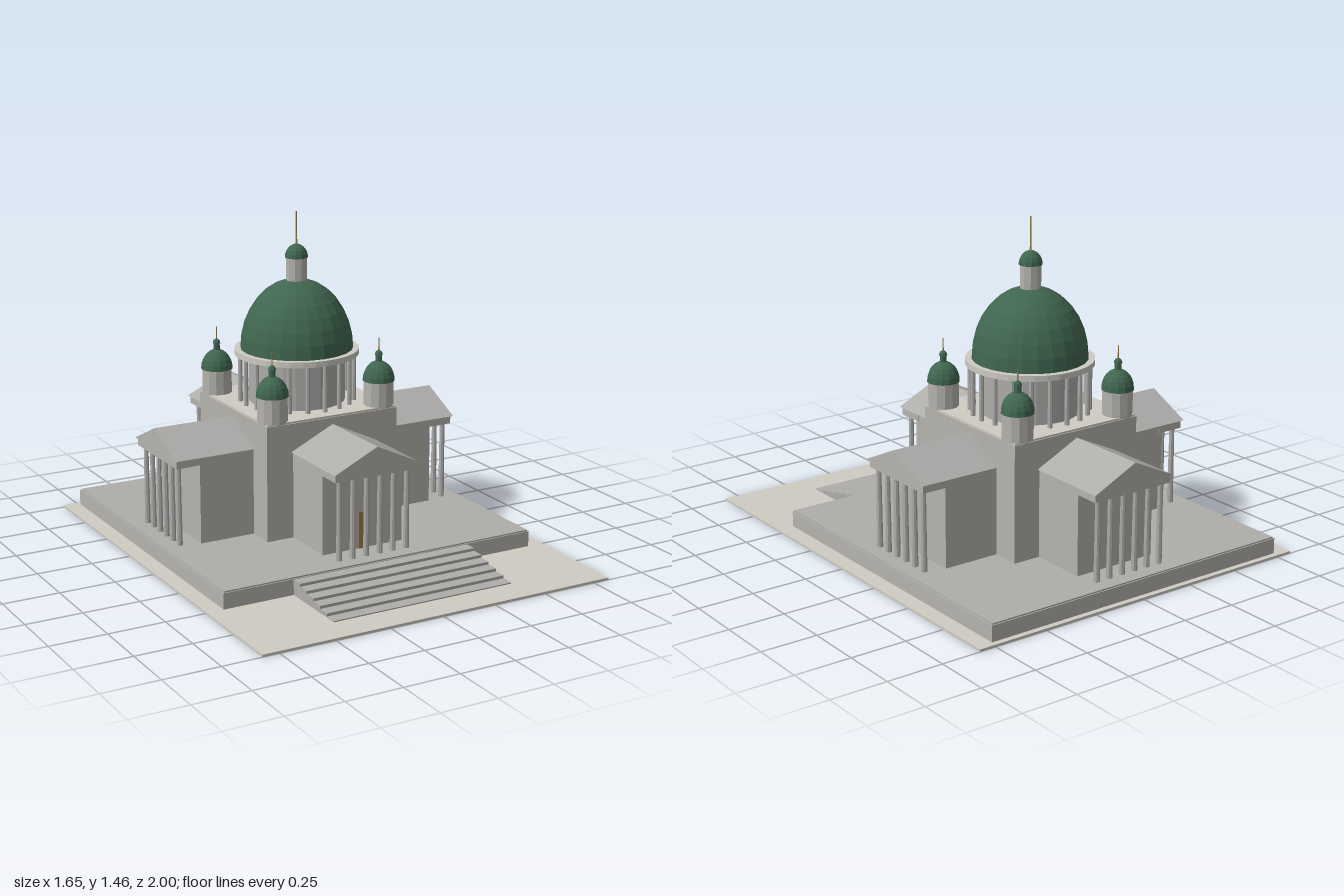
import * as THREE from 'three';

const CZ = -0.2275; // centre of the building along z

export function createModel() {
  const mat = (name, color) => {
    const m = new THREE.MeshStandardMaterial({ color, flatShading: true });
    m.name = name;
    return m;
  };
  const stone = mat('stone', 0xb5b3ac);
  const grey = mat('grey stone', 0xaeadaa);
  const light = mat('pale stone', 0xcdcbc2);
  const green = mat('copper green', 0x40664f);
  const gold = mat('gold', 0x9a8148);

  const model = new THREE.Group();
  model.name = 'cathedral';

  const add = (parent, name, geo, material, x = 0, y = 0, z = 0) => {
    const mesh = new THREE.Mesh(geo, material);
    mesh.name = name;
    mesh.position.set(x, y, z);
    parent.add(mesh);
    return mesh;
  };
  // Box and cylinder placed by their bottom and top heights
  const box = (parent, name, m, w, d, y0, y1, x = 0, z = 0) =>
    add(parent, name, new THREE.BoxGeometry(w, y1 - y0, d), m, x, (y0 + y1) / 2, z);
  const cyl = (parent, name, m, rTop, rBottom, y0, y1, sides, x = 0, z = 0) =>
    add(parent, name, new THREE.CylinderGeometry(rTop, rBottom, y1 - y0, sides), m, x, (y0 + y1) / 2, z);
  // Half ellipsoid standing on y0
  const dome = (parent, name, r, y0, h, sides, rings, x = 0, z = 0) => {
    const geo = new THREE.SphereGeometry(r, sides, rings, 0, Math.PI * 2, 0, Math.PI / 2);
    geo.scale(1, h / r, 1);
    return add(parent, name, geo, green, x, y0, z);
  };

  // Ground and podium
  box(model, 'ground', light, 1.65, 2, 0, 0.01);
  box(model, 'podium', stone, 1.5, 1.496, 0.01, 0.08, 0, CZ);
  box(model, 'podiumPaving', grey, 1.49, 1.486, 0.08, 0.086, 0, CZ);

  // Front steps
  for (let i = 0; i < 6; i++) {
    const front = 0.855 - i * 0.056;
    box(model, 'step', grey, 0.854, front - 0.5, 0.01, 0.015 + i * 0.0125, 0, (front + 0.5) / 2);
  }

  const church = new THREE.Group();
  church.name = 'church';
  church.position.z = CZ;
  model.add(church);

  // Central block with its flat roof
  box(church, 'centralBlock', stone, 0.646, 0.646, 0.08, 0.602);
  box(church, 'flatRoof', light, 0.636, 0.636, 0.602, 0.61);

  // Four arms, each with a columned porch and a gable roof
  const gable = new THREE.Shape();
  gable.moveTo(-0.205, 0);
  gable.lineTo(0.205, 0);
  gable.lineTo(0, 0.097);
  gable.closePath();
  const roofGeo = new THREE.ExtrudeGeometry(gable, { depth: 0.4, bevelEnabled: false });
  for (let i = 0; i < 4; i++) {
    const arm = new THREE.Group();
    arm.name = 'arm';
    arm.rotation.y = i * Math.PI / 2;
    church.add(arm);
    box(arm, 'armWalls', stone, 0.392, 0.28, 0.08, 0.475, 0, 0.44);
    box(arm, 'entablature', stone, 0.394, 0.13, 0.44, 0.475, 0, 0.625);
    add(arm, 'gableRoof', roofGeo, [stone, grey], 0, 0.475, 0.3);
    for (let k = 0; k < 6; k++) {
      cyl(arm, 'porchColumn', grey, 0.011, 0.0135, 0.08, 0.44, 8, (k - 2.5) * 0.066, 0.667);
    }
    if (i === 0) box(arm, 'door', gold, 0.04, 0.008, 0.086, 0.252, 0, 0.582);
  }

  // Drum with its ring of columns
  cyl(church, 'drum', grey, 0.215, 0.215, 0.605, 0.82, 24);
  for (let i = 0; i < 20; i++) {
    const a = i * Math.PI / 10;
    cyl(church, 'drumColumn', grey, 0.01, 0.011, 0.605, 0.82, 8, 0.255 * Math.sin(a), 0.255 * Math.cos(a));
  }
  cyl(church, 'drumCornice', light, 0.277, 0.277, 0.82, 0.845, 32);

  // Main dome, lantern and spire
  dome(church, 'mainDome', 0.25, 0.845, 0.31, 24, 8);
  cyl(church, 'lantern', stone, 0.047, 0.047, 1.14, 1.25, 10);
  dome(church, 'lanternDome', 0.051, 1.25, 0.06, 12, 5);
  cyl(church, 'spire', gold, 0.003, 0.004, 1.3, 1.455, 6);

  // Corner turrets
  for (const sx of [-1, 1]) {
    for (const sz of [-1, 1]) {
      const turret = new THREE.Group();
      turret.name = 'turret';
      turret.position.set(sx * 0.265, 0, sz * 0.265);
      church.add(turret);
      cyl(turret, 'turretDrum', stone, 0.066, 0.066, 0.605, 0.72, 12);
      dome(turret, 'turretDome', 0.071, 0.72, 0.089, 14, 6);
      cyl(turret, 'turretLantern', green, 0.015, 0.015, 0.8, 0.835, 8);
      dome(turret, 'turretCap', 0.018, 0.835, 0.022, 8, 4);
      cyl(turret, 'turretSpire', gold, 0.002, 0.003, 0.85, 0.912, 6);
    }
  }
  return model;
}
